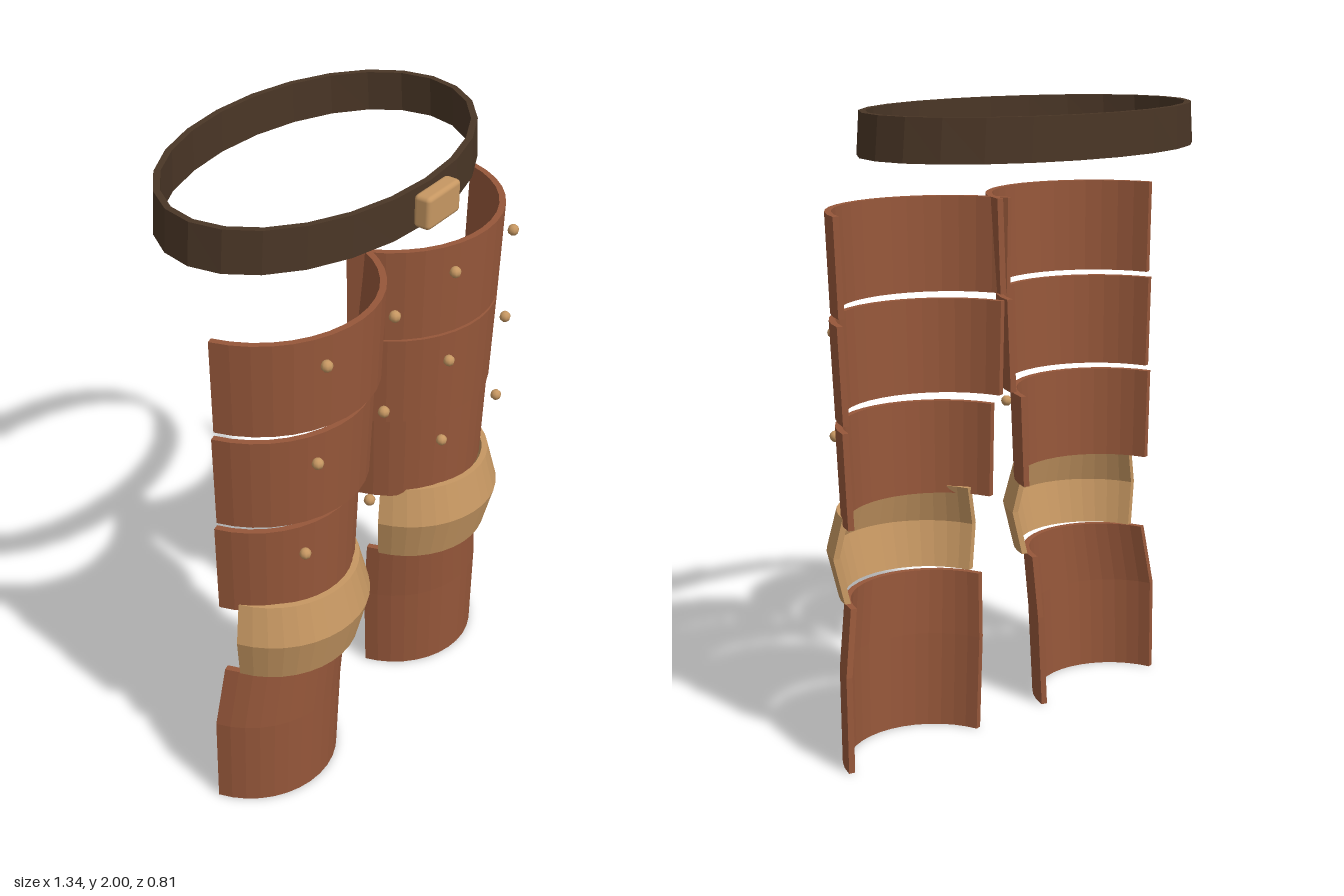
import * as THREE from 'three';
import { RoundedBoxGeometry } from 'three/addons/geometries/RoundedBoxGeometry.js';

// Curved sheet through levels [y, cx, cz, rx, rz], listed from top to bottom.
// It spans the angles -half..half around +z; a full turn is left without end caps.
function curvedSheet(levels, half, segments, thickness) {
  const pos = [];
  const quad = (a, b, c, d) => pos.push(...a, ...b, ...c, ...a, ...c, ...d);
  const point = (level, i, inset) => {
    const [y, cx, cz, rx, rz = rx] = level;
    const a = -half + (2 * half * i) / segments;
    return [cx + (rx - inset) * Math.sin(a), y, cz + (rz - inset) * Math.cos(a)];
  };
  const top = levels[0], bottom = levels[levels.length - 1];
  const out = (l, i) => point(l, i, 0);
  const inn = (l, i) => point(l, i, thickness);

  for (let i = 0; i < segments; i++) {
    const j = i + 1;
    for (let k = 0; k < levels.length - 1; k++) {
      const t = levels[k], b = levels[k + 1];
      quad(out(t, i), out(b, i), out(b, j), out(t, j));
      quad(inn(t, j), inn(b, j), inn(b, i), inn(t, i));
    }
    quad(out(top, i), out(top, j), inn(top, j), inn(top, i));
    quad(inn(bottom, i), inn(bottom, j), out(bottom, j), out(bottom, i));
  }
  if (half < Math.PI) {
    for (let k = 0; k < levels.length - 1; k++) {
      const t = levels[k], b = levels[k + 1], n = segments;
      quad(inn(t, 0), inn(b, 0), out(b, 0), out(t, 0));
      quad(out(t, n), out(b, n), inn(b, n), inn(t, n));
    }
  }
  const g = new THREE.BufferGeometry();
  g.setAttribute('position', new THREE.Float32BufferAttribute(pos, 3));
  g.computeVertexNormals();
  return g;
}

export function createModel() {
  const model = new THREE.Group();
  model.name = 'legArmour';

  const material = (name, color) => {
    const m = new THREE.MeshStandardMaterial({ color });
    m.name = name;
    return m;
  };
  const leather = material('leather', 0x96573a);
  const darkLeather = material('darkLeather', 0x4a3626);
  const brass = material('brass', 0xc69762);

  const add = (parent, name, geometry, mat) => {
    const mesh = new THREE.Mesh(geometry, mat);
    mesh.name = name;
    parent.add(mesh);
    return mesh;
  };

  // Belt and buckle
  add(model, 'belt', curvedSheet([
    [2.0, 0, -0.025, 0.582, 0.38],
    [1.872, 0, -0.025, 0.594, 0.38],
  ], Math.PI, 24, 0.02), darkLeather);
  add(model, 'buckle', new RoundedBoxGeometry(0.16, 0.1, 0.055, 2, 0.014), brass)
    .position.set(0, 1.937, 0.378);

  const HALF = THREE.MathUtils.degToRad(75);
  const rivet = new THREE.SphereGeometry(0.018, 8, 6);

  // Thigh plates: [top y, bottom y, centre x, top radius, bottom radius, rivet y]
  const thighs = [
    [1.71, 1.41, 0.315, 0.357, 0.347, 1.637],
    [1.39, 1.09, 0.332, 0.338, 0.326, 1.316],
    [1.07, 0.77, 0.355, 0.309, 0.298, 0.998],
  ];

  for (const side of [1, -1]) {
    const leg = new THREE.Group();
    leg.name = side > 0 ? 'leftLeg' : 'rightLeg';
    model.add(leg);

    for (const [y1, y0, cx, r1, r0, ry] of thighs) {
      add(leg, 'thighPlate', curvedSheet(
        [[y1, side * cx, 0, r1], [y0, side * cx, 0, r0]], HALF, 16, 0.02), leather);
      for (const dx of [-0.16, 0.16]) {
        add(leg, 'rivet', rivet, brass).position.set(side * cx + dx, ry, r1 - 0.006);
      }
    }

    // Knee guard with a ridge across its middle
    add(leg, 'kneeGuard', curvedSheet([
      [0.793, side * 0.365, 0.065, 0.265],
      [0.665, side * 0.365, 0.07, 0.295],
      [0.52, side * 0.365, 0.062, 0.266],
    ], HALF, 16, 0.02), brass);

    // Shin plate, widest at the calf
    add(leg, 'shinPlate', curvedSheet([
      [0.52, side * 0.373, 0.013, 0.272],
      [0.31, side * 0.396, -0.006, 0.284],
      [0, side * 0.404, -0.006, 0.276],
    ], HALF, 16, 0.02), leather);
  }
  return model;
}
